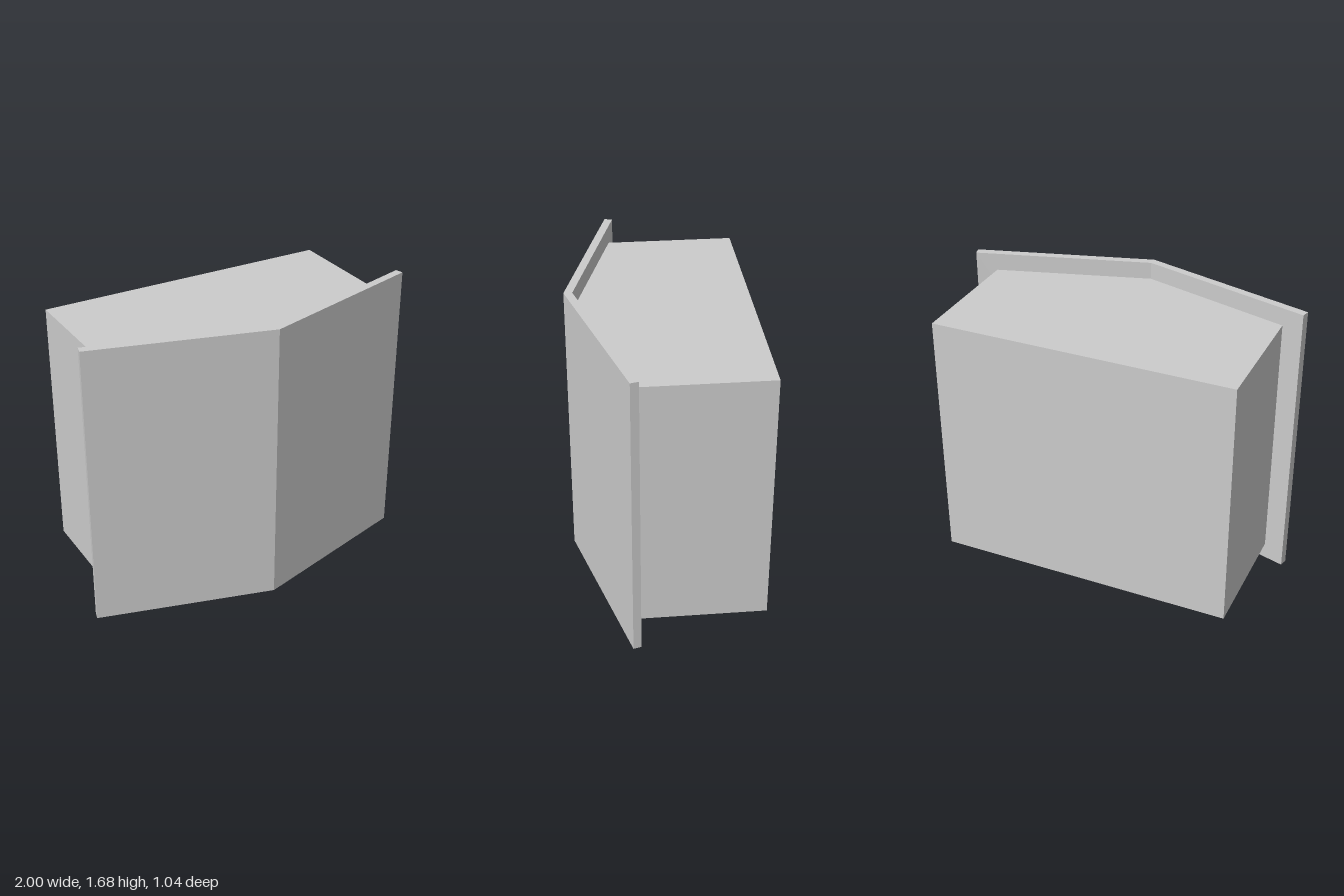
import * as THREE from 'three';

const HALF = 0.87, BACK = -0.52, SIDE_Z = 0.22, PEAK_Z = 0.47;
const BOTTOM = 0.1, TOP = 1.58, PANEL_H = 1.68;

const shapeOf = pts => new THREE.Shape(pts.map(([x, z]) => new THREE.Vector2(x, z)));

export function createModel() {
  const group = new THREE.Group();
  const solid = new THREE.MeshStandardMaterial({ color: 0xcccccc, flatShading: true });
  const thin = new THREE.MeshStandardMaterial({ color: 0xcccccc, flatShading: true, side: THREE.DoubleSide });

  const add = (name, geometry, material) => {
    const mesh = new THREE.Mesh(geometry, material);
    mesh.name = name;
    group.add(mesh);
    return mesh;
  };

  // Bent front panel, wider and taller than the housing
  const panel = new THREE.ExtrudeGeometry(shapeOf([
    [-1, 0.235], [-0.988, 0.19], [0, PEAK_Z], [0.988, 0.19], [1, 0.235], [0, 0.518],
  ]), { depth: PANEL_H, bevelEnabled: false });
  panel.rotateX(Math.PI / 2).translate(0, PANEL_H, 0);
  add('frontPanel', panel, solid);

  // Horizontal sheets of the hollow housing; the bottom has a slot at the back
  const front = [[HALF, BACK], [HALF, SIDE_Z], [0, PEAK_Z], [-HALF, SIDE_Z], [-HALF, BACK]];
  const slot = [[-0.15, BACK], [-0.15, -0.12], [0.15, -0.12], [0.15, BACK]];
  const sheet = (name, pts, y) =>
    add(name, new THREE.ShapeGeometry(shapeOf(pts)).rotateX(Math.PI / 2).translate(0, y, 0), thin);
  sheet('housingTop', front, TOP);
  sheet('housingBottom', [...front, ...slot], BOTTOM);

  // Thin upright walls
  const height = TOP - BOTTOM, midY = (TOP + BOTTOM) / 2;
  add('backWall', new THREE.PlaneGeometry(2 * HALF, height).rotateY(Math.PI), thin)
    .position.set(0, midY, BACK);
  for (const [name, side] of [['leftWall', 1], ['rightWall', -1]]) {
    add(name, new THREE.PlaneGeometry(SIDE_Z - BACK, height).rotateY(side * Math.PI / 2), thin)
      .position.set(side * HALF, midY, (SIDE_Z + BACK) / 2);
  }
  return group;
}
